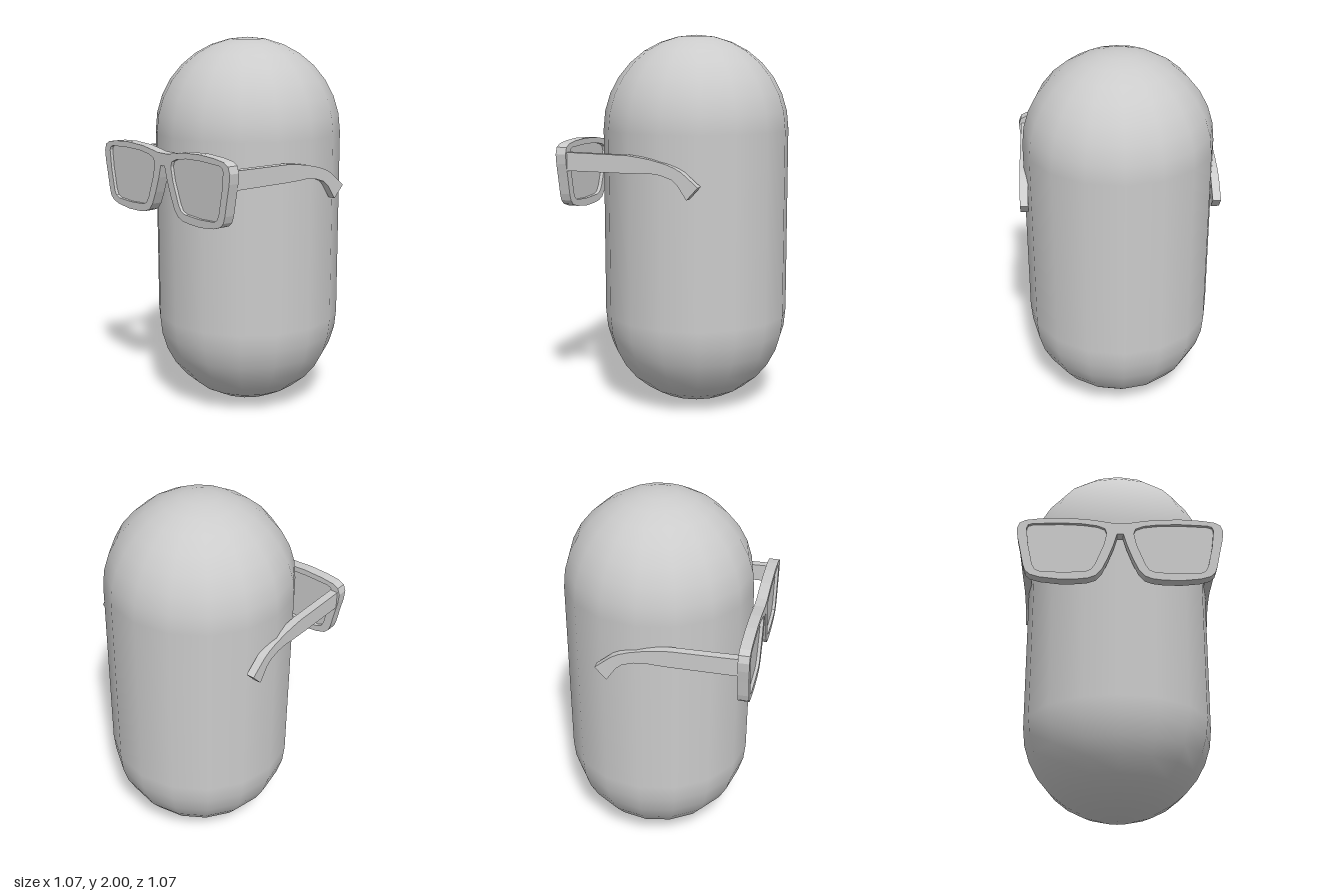
import * as THREE from 'three';

const material = new THREE.MeshStandardMaterial({ color: 0xcccccc });
const points = (list) => list.map(([x, y]) => new THREE.Vector2(x, y));
const mirrored = (list) => list.map(([x, y]) => [-x, y]).reverse();

function extrude(shape, depth) {
  return new THREE.ExtrudeGeometry(shape, { depth, bevelEnabled: false });
}

function addMesh(parent, name, geometry, x = 0, y = 0, z = 0) {
  const mesh = new THREE.Mesh(geometry, material);
  mesh.name = name;
  mesh.position.set(x, y, z);
  parent.add(mesh);
}

// Left half of the frame outline, from bridge top to bridge underside
const halfFrame = [
  [0.04, 1.431], [0.1, 1.441], [0.175, 1.452], [0.31, 1.458], [0.42, 1.452], [0.49, 1.442],
  [0.522, 1.425], [0.535, 1.39], [0.53, 1.34], [0.515, 1.27], [0.497, 1.18], [0.485, 1.145],
  [0.46, 1.122], [0.41, 1.107], [0.31, 1.096], [0.22, 1.098], [0.165, 1.105],
  [0.125, 1.12], [0.095, 1.155], [0.065, 1.22], [0.035, 1.3], [0.016, 1.366],
];

// Left lens opening
const lensOutline = [
  [0.485, 1.395], [0.477, 1.413], [0.455, 1.421], [0.31, 1.427], [0.2, 1.424], [0.12, 1.413],
  [0.08, 1.397], [0.07, 1.37], [0.085, 1.3], [0.13, 1.185], [0.15, 1.155], [0.18, 1.142],
  [0.3, 1.136], [0.41, 1.141], [0.435, 1.152], [0.45, 1.18], [0.475, 1.3],
];

// Side profile of a temple arm as [z, y]
const templeProfile = [
  [0.48, 1.4], [0.14, 1.396], [0.07, 1.388], [0.01, 1.379], [-0.07, 1.36], [-0.12, 1.342],
  [-0.16, 1.32], [-0.245, 1.25], [-0.185, 1.185], [-0.135, 1.258], [-0.105, 1.283],
  [-0.045, 1.303], [0.02, 1.31], [0.06, 1.307], [0.14, 1.305], [0.48, 1.305],
];

function createGlasses() {
  const glasses = new THREE.Group();
  glasses.name = 'glasses';

  // One-piece front frame with two lens openings
  const frame = new THREE.Shape(points([...halfFrame, ...mirrored(halfFrame)]));
  const outlines = [lensOutline, mirrored(lensOutline)];
  for (const outline of outlines) frame.holes.push(new THREE.Path(points(outline)));
  addMesh(glasses, 'frame', extrude(frame, 0.057), 0, 0, 0.475);

  // Thin lenses set back inside the openings
  outlines.forEach((outline, i) => {
    const lens = extrude(new THREE.Shape(points(outline)), 0.02);
    addMesh(glasses, i ? 'rightLens' : 'leftLens', lens, 0, 0, 0.495);
  });

  // Temple arms, hooked downwards at the back
  const temple = extrude(new THREE.Shape(points(templeProfile)), 0.043);
  temple.rotateY(-Math.PI / 2);
  addMesh(glasses, 'leftTemple', temple, 0.521);
  addMesh(glasses, 'rightTemple', temple, -0.478);
  return glasses;
}

export function createModel() {
  const model = new THREE.Group();
  model.name = 'capsuleWithGlasses';
  addMesh(model, 'body', new THREE.CapsuleGeometry(0.5, 1, 8, 16), 0, 1, -0.035);
  model.add(createGlasses());
  return model;
}
